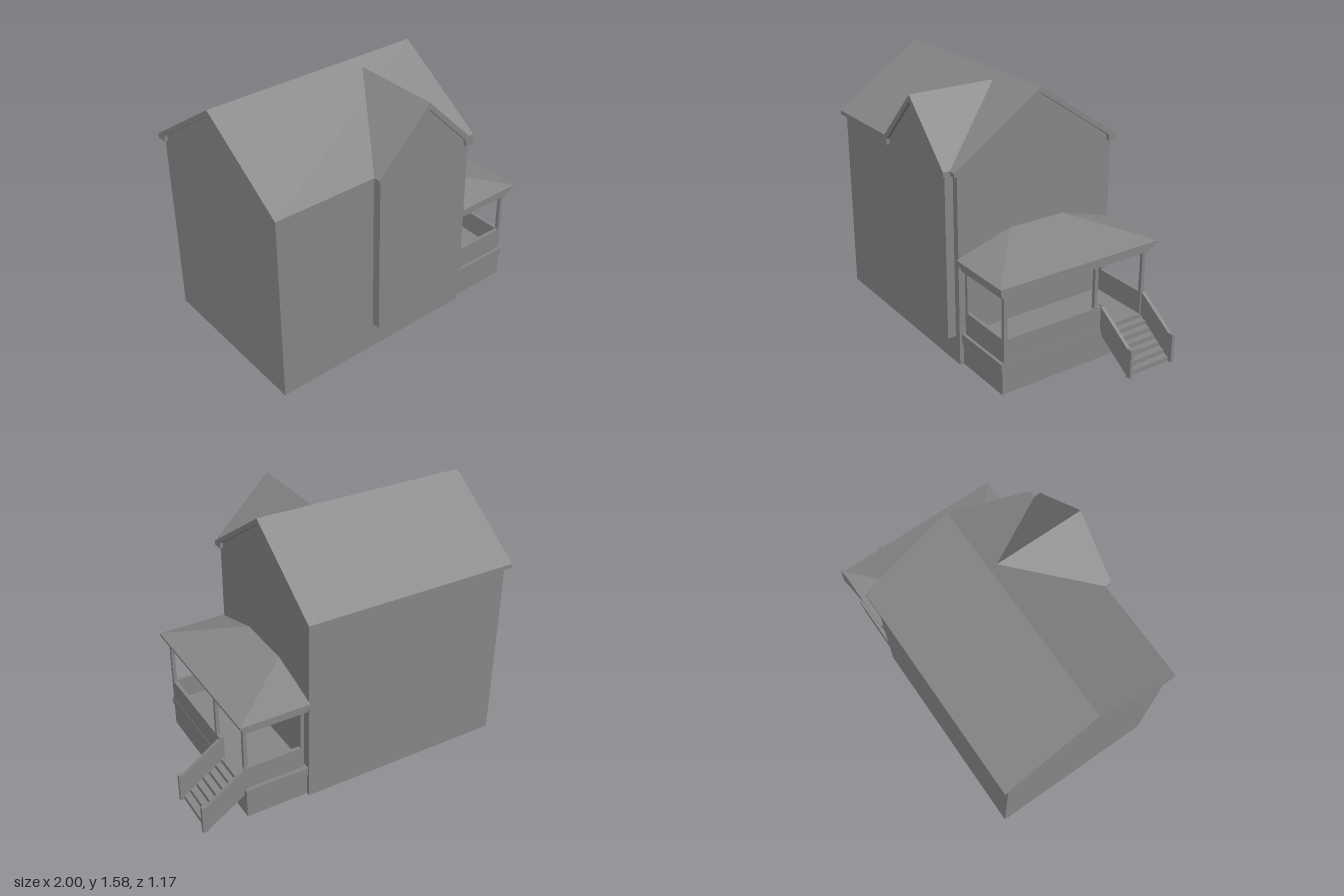
import * as THREE from 'three';

export function createModel() {
  const house = new THREE.Group();
  house.name = 'house';
  const mat = new THREE.MeshStandardMaterial({ color: 0x868686, flatShading: true, side: THREE.DoubleSide });

  const add = (name, geo, parent = house) => {
    const mesh = new THREE.Mesh(geo, mat);
    mesh.name = name;
    parent.add(mesh);
    return mesh;
  };
  const group = (name) => {
    const g = new THREE.Group();
    g.name = name;
    house.add(g);
    return g;
  };
  const shape = (pts) => new THREE.Shape(pts.map(([u, v]) => new THREE.Vector2(u, v)));
  // box from its limits
  const box = (name, [x0, x1], [y0, y1], [z0, z1], parent) => {
    const geo = new THREE.BoxGeometry(x1 - x0, y1 - y0, z1 - z0);
    geo.translate((x0 + x1) / 2, (y0 + y1) / 2, (z0 + z1) / 2);
    return add(name, geo, parent);
  };
  // (x, y) profile extruded along z
  const prismZ = (name, pts, z0, z1, parent) =>
    add(name, new THREE.ExtrudeGeometry(shape(pts), { depth: z1 - z0, bevelEnabled: false }).translate(0, 0, z0), parent);
  // (z, y) profile extruded along x
  const prismX = (name, pts, x0, x1, parent) =>
    add(name, new THREE.ExtrudeGeometry(shape(pts.map(([z, y]) => [-z, y])), { depth: x1 - x0, bevelEnabled: false })
      .rotateY(Math.PI / 2).translate(x0, 0, 0), parent);
  // flat panels from four-corner (or three-corner) loops
  const panels = (name, faces, parent) => {
    const pos = [];
    for (const f of faces)
      for (let i = 1; i < f.length - 1; i++) pos.push(...f[0], ...f[i], ...f[i + 1]);
    const geo = new THREE.BufferGeometry();
    geo.setAttribute('position', new THREE.Float32BufferAttribute(pos, 3));
    geo.computeVertexNormals();
    return add(name, geo, parent);
  };
  // gable roof section with boxed eaves: a, b eave limits, c ridge, top and underside heights
  const gableProfile = (a, b, c, top, under, lip) => [
    [a, 1.167], [a, 1.192], [c, top], [b, 1.192], [b, 1.167],
    [b - lip, 1.167], [b - lip, 1.203], [c, under], [a + lip, 1.203], [a + lip, 1.167],
  ];

  // main body: hollow shell, open underneath
  const L = -0.98, R = 0.334, B = -0.547, F = 0.515;
  const body = group('mainBody');
  for (const [name, x] of [['leftGableWall', R], ['rightGableWall', L]]) {
    const end = [[-F, 0], [-B, 0], [-B, 1.18], [0.02, 1.55], [-F, 1.18]];
    add(name, new THREE.ShapeGeometry(shape(end)).rotateY(Math.PI / 2).translate(x, 0, 0), body);
  }
  panels('backWall', [[[R, 0, B], [L, 0, B], [L, 1.18, B], [R, 1.18, B]]], body);
  // front wall, open behind the bay
  const b0 = -0.347, b1 = 0.292;
  const frontWall = shape([[L, 0], [R, 0], [R, 1.18], [L, 1.18]]);
  frontWall.holes.push(new THREE.Path([[b0, 0.17], [b0, 1.16], [b1, 1.16], [b1, 0.17]]
    .map(([x, y]) => new THREE.Vector2(x, y))));
  add('frontWall', new THREE.ShapeGeometry(frontWall).translate(0, 0, F), body);
  prismX('mainRoof', gableProfile(-0.585, 0.545, -0.02, 1.575, 1.54, 0.067), -1, 0.355);

  // projecting front bay with its cross gable
  const bay = group('frontBay');
  const bz = 0.567;
  add('bayFrontWall', new THREE.ShapeGeometry(
    shape([[b0, 0.17], [b1, 0.17], [b1, 1.19], [-0.03, 1.51], [b0, 1.19]])).translate(0, 0, bz), bay);
  panels('baySideWalls', [
    [[b1, 0.17, bz], [b1, 0.17, F], [b1, 1.18, F], [b1, 1.18, bz]],
    [[b0, 0.17, F], [b0, 0.17, bz], [b0, 1.18, bz], [b0, 1.18, F]],
  ], bay);
  panels('bayFloor', [[[b0, 0.17, F], [b1, 0.17, F], [b1, 0.17, bz], [b0, 0.17, bz]]], bay);
  prismZ('crossGableRoof', gableProfile(-0.37, 0.312, -0.03, 1.537, 1.497, 0.055), 0.03, 0.586, bay);

  // porch base, open underneath, and deck
  const porch = group('porch');
  const px = 0.725, pf = 0.49, pb = -0.525;
  panels('porchBase', [
    [[R, 0, pf], [px, 0, pf], [px, 0.143, pf], [R, 0.143, pf]],
    [[px, 0, pf], [px, 0, pb], [px, 0.143, pb], [px, 0.143, pf]],
    [[px, 0, pb], [R, 0, pb], [R, 0.143, pb], [px, 0.143, pb]],
  ], porch);
  box('porchDeck', [R, 0.73], [0.143, 0.198], [-0.535, 0.5], porch);

  // parapets and posts
  box('frontParapet', [0.347, 0.728], [0.19, 0.34], [0.46, 0.482], porch);
  box('backParapet', [0.347, 0.728], [0.19, 0.34], [-0.512, -0.49], porch);
  box('sideParapet', [0.706, 0.728], [0.19, 0.34], [-0.19, 0.482], porch);
  for (const [x, z] of [[0.717, 0.471], [0.717, -0.15], [0.717, -0.501], [0.358, 0.471], [0.358, -0.501]])
    box('post', [x - 0.011, x + 0.011], [0.19, 0.61], [z - 0.011, z + 0.011], porch);

  // stepped slabs under the roof, then the hipped roof
  box('beam', [R, 0.735], [0.6, 0.627], [-0.535, 0.5], porch);
  box('cornice', [R, 0.749], [0.627, 0.658], [-0.548, 0.515], porch);
  box('eave', [R, 0.766], [0.658, 0.672], [-0.565, 0.527], porch);
  const e = [[R, 0.672, 0.527], [0.766, 0.672, 0.527], [0.766, 0.672, -0.565], [R, 0.672, -0.565]];
  const r0 = [R, 0.78, 0.17], r1 = [R, 0.78, -0.205];
  panels('hippedRoof', [[e[0], e[1], r0], [e[1], e[2], r1, r0], [e[2], e[3], r1]], porch);

  // steps with a straight sloping underside
  const stairs = group('stairs');
  const n = 6, rise = 0.2 / 7, run = 0.0415, sx = 0.728;
  const steps = [[sx, 0.15]];
  for (let i = 0; i < n; i++) {
    const y = 0.2 - (i + 1) * rise;
    steps.push([sx + i * run, y], [sx + (i + 1) * run, y]);
  }
  steps.push([sx + n * run, 0], [0.957, 0]);
  prismZ('steps', steps, -0.508, -0.2, stairs);

  // solid sloping rails ending in posts, with small gaps above the treads
  for (const z of [-0.2, -0.511]) {
    prismZ('stairRail', [[sx, 0.19], [0.967, 0.025], [0.967, 0], [1, 0], [1, 0.18], [0.965, 0.18], [sx, 0.34]],
      z - 0.011, z + 0.011, stairs);
    box('topNewel', [0.706, 0.73], [0.19, 0.348], [z - 0.01, z + 0.01], stairs);
  }
  return house;
}
